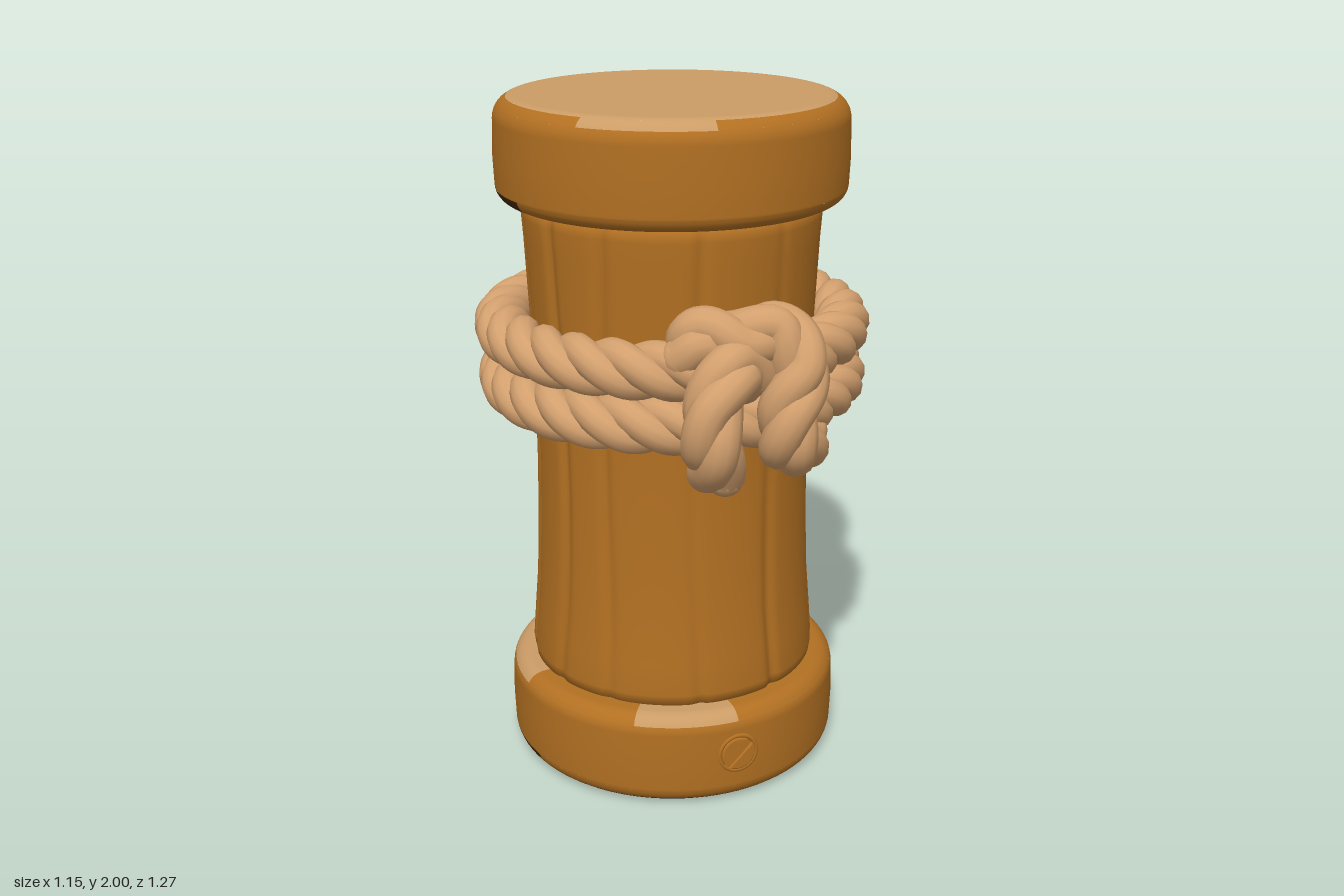
import * as THREE from 'three';
import { mergeVertices, mergeGeometries } from 'three/addons/utils/BufferGeometryUtils.js';

const mat = (name, color) => Object.assign(new THREE.MeshStandardMaterial({ color }), { name });
const V = (x, y, z) => new THREE.Vector3(x, y, z);
const P = (r, y) => new THREE.Vector2(r, y);
const DEG = Math.PI / 180;
const AXIS_Z = -0.06; // the post sits slightly behind centre, the knot sticks out in front

export function createModel() {
  const wood = mat('wood', 0xb27022);
  const cutWood = mat('cutWood', 0xcb9c66);
  const rope = mat('rope', 0xd3a06e);
  const darkWood = mat('darkWood', 0x432608);

  const model = new THREE.Group();
  model.name = 'ropedPost';
  const add = (name, geometry, material, parent = model) => {
    const mesh = new THREE.Mesh(geometry, material);
    mesh.name = name;
    parent.add(mesh);
    return mesh;
  };

  const post = new THREE.Group();
  post.name = 'post';
  post.position.z = AXIS_Z;
  model.add(post);

  // Rounded corner of a rim, from angle a to b in degrees
  const corner = (r, y, c, a, b) => Array.from({ length: 7 }, (_, i) => {
    const t = (a + (b - a) * i / 6) * DEG;
    return P(r + c * Math.cos(t), y + c * Math.sin(t));
  });
  const lathe = (name, pts, material, from = 0, to = 360) =>
    add(name, new THREE.LatheGeometry(pts, Math.ceil((to - from) / 4), from * DEG, (to - from) * DEG), material, post);
  // Turned strip whose colour changes round the post: [from, to, material]
  const strip = (name, pts, sections) => sections.forEach(([a, b, m], i) => lathe(name + (i + 1), pts, m, a, b));

  // Trunk: waisted profile with irregular vertical plank grooves
  const profile = [[0.4, 0.28], [0.43, 0.3], [0.434, 0.33], [0.427, 0.42], [0.416, 0.55], [0.41, 0.7], [0.405, 0.9],
    [0.405, 1.1], [0.411, 1.3], [0.418, 1.45], [0.425, 1.6], [0.43, 1.67], [0.427, 1.7], [0.4, 1.72]];
  const trunk = new THREE.LatheGeometry(profile.map(p => P(...p)), 240);
  const grooves = [-47, -10, 24, 66, 92, 118, 150, 185, 212, 238, 262, 290];
  const pos = trunk.attributes.position;
  for (let i = 0; i < pos.count; i++) {
    const x = pos.getX(i), y = pos.getY(i), z = pos.getZ(i), r = Math.hypot(x, z);
    const phi = Math.atan2(x, z) / DEG;
    let cut = 0;
    grooves.forEach((g, k) => {
      const line = g + 1.5 * Math.sin(y * 4 + k);
      const d = ((phi - line) % 360 + 540) % 360 - 180;
      const depth = 0.003 + 0.01 * Math.abs(Math.sin(k * 2.3 + y * 1.1));
      cut += depth * Math.exp(-d * d / 6);
    });
    const s = (r - cut) / r;
    pos.setXYZ(i, x * s, y, z * s);
  }
  trunk.deleteAttribute('uv');
  trunk.deleteAttribute('normal');
  const smoothTrunk = mergeVertices(trunk, 1e-5);
  smoothTrunk.computeVertexNormals();
  add('trunk', smoothTrunk, wood, post);

  // Top cap: dark underside, wooden band with a stained lower edge, pale cut face worn over the front edge
  lathe('topCapUnderside', [P(0.36, 1.71), P(0.46, 1.71)], darkWood);
  strip('topCapLowerEdge', corner(0.455, 1.755, 0.045, -85, -10), [[258, 284, darkWood], [284, 618, wood]]);
  lathe('topCapBand', [...corner(0.455, 1.755, 0.045, -10, 0), P(0.503, 1.83), ...corner(0.435, 1.935, 0.065, 0, 35)], wood);
  strip('topCapUpperEdge', corner(0.435, 1.935, 0.065, 35, 66), [[-50, -6, cutWood], [-6, 310, wood]]);
  lathe('topCapFace', [...corner(0.435, 1.935, 0.065, 66, 90), P(0.42, 2), P(0, 2)], cutWood);

  // Bottom cap: dark base, stained lower edge, wooden band, shoulder with worn pale patches
  lathe('base', [P(0, 0), P(0.43, 0), ...corner(0.44, 0.06, 0.06, -90, -45)], darkWood);
  strip('bottomCapLowerEdge', corner(0.44, 0.06, 0.06, -45, -10),
    [[100, 148, darkWood], [148, 256, wood], [256, 286, darkWood], [286, 460, wood]]);
  lathe('bottomCapBand', [...corner(0.44, 0.06, 0.06, -10, 0), P(0.503, 0.14), ...corner(0.445, 0.235, 0.055, 0, 28)], wood);
  strip('bottomCapShoulder', [...corner(0.445, 0.235, 0.055, 28, 90), P(0.39, 0.29)],
    [[-33, 3, cutWood], [3, 146, wood], [146, 278, cutWood], [278, 327, wood]]);

  // Slotted screws, front and back
  const half = new THREE.Shape();
  half.absarc(0, 0, 0.052, 0.2, Math.PI - 0.2, false);
  const halfHead = new THREE.ExtrudeGeometry(half, {
    depth: 0.018, bevelEnabled: true, bevelSize: 0.005, bevelThickness: 0.005, bevelSegments: 2, bevelOffset: -0.005, curveSegments: 18,
  });
  [1, -1].forEach(side => {
    const screw = new THREE.Group();
    screw.name = side > 0 ? 'frontScrew' : 'backScrew';
    screw.position.set(0.022, 0.16, side * 0.485);
    if (side < 0) screw.rotation.y = Math.PI;
    post.add(screw);
    for (const turn of [0, Math.PI]) add('screwHeadHalf', halfHead, wood, screw).rotation.z = Math.PI / 4 + turn;
    add('screwRim', new THREE.TorusGeometry(0.057, 0.007, 8, 32), wood, screw).position.z = 0.013;
  });

  // Three strands twisted round a centre line
  function twistedRope(name, curve, closed, pitch, offset, radius) {
    const length = curve.getLength();
    const turns = Math.max(1, Math.round(length / pitch));
    const steps = Math.round(length * 90);
    const frames = curve.computeFrenetFrames(steps, closed);
    const parts = [];
    for (let s = 0; s < 3; s++) {
      const pts = [];
      for (let i = 0; i < steps + (closed ? 0 : 1); i++) {
        const a = (i / steps * turns + s / 3) * Math.PI * 2;
        pts.push(curve.getPointAt(i / steps)
          .addScaledVector(frames.normals[i], offset * Math.cos(a))
          .addScaledVector(frames.binormals[i], offset * Math.sin(a)));
      }
      parts.push(new THREE.TubeGeometry(new THREE.CatmullRomCurve3(pts, closed), steps, radius, 12, closed));
      // Rounded strand ends
      if (!closed) for (const p of [pts[0], pts[pts.length - 1]]) {
        parts.push(new THREE.SphereGeometry(radius, 14, 10).translate(p.x, p.y, p.z));
      }
    }
    add(name, mergeGeometries(parts), rope);
  }

  // Two loops round the post
  for (const [name, y, r] of [['upperRopeLoop', 1.345, 0.494], ['lowerRopeLoop', 1.19, 0.487]]) {
    const ring = Array.from({ length: 32 }, (_, i) => {
      const a = i / 32 * Math.PI * 2;
      return V(r * Math.cos(a), y, AXIS_Z + r * Math.sin(a));
    });
    twistedRope(name, new THREE.CatmullRomCurve3(ring, true), true, 0.35, 0.036, 0.046);
  }

  // Knot: an arch over the loops and a hanging end crossing it
  twistedRope('knotArch', new THREE.CatmullRomCurve3([
    V(-0.13, 1.38, 0.42), V(-0.1, 1.44, 0.44), V(0, 1.43, 0.47), V(0.1, 1.45, 0.47), V(0.15, 1.36, 0.52),
    V(0.11, 1.24, 0.54), V(0.12, 1.14, 0.52), V(0.22, 1.1, 0.4)]), false, 0.5, 0.03, 0.054);
  twistedRope('knotHangingEnd', new THREE.CatmullRomCurve3([
    V(-0.06, 1.07, 0.46), V(-0.11, 1.17, 0.55), V(-0.11, 1.28, 0.55), V(-0.04, 1.37, 0.52), V(0.03, 1.33, 0.46)]), false, 0.5, 0.03, 0.054);

  return model;
}
